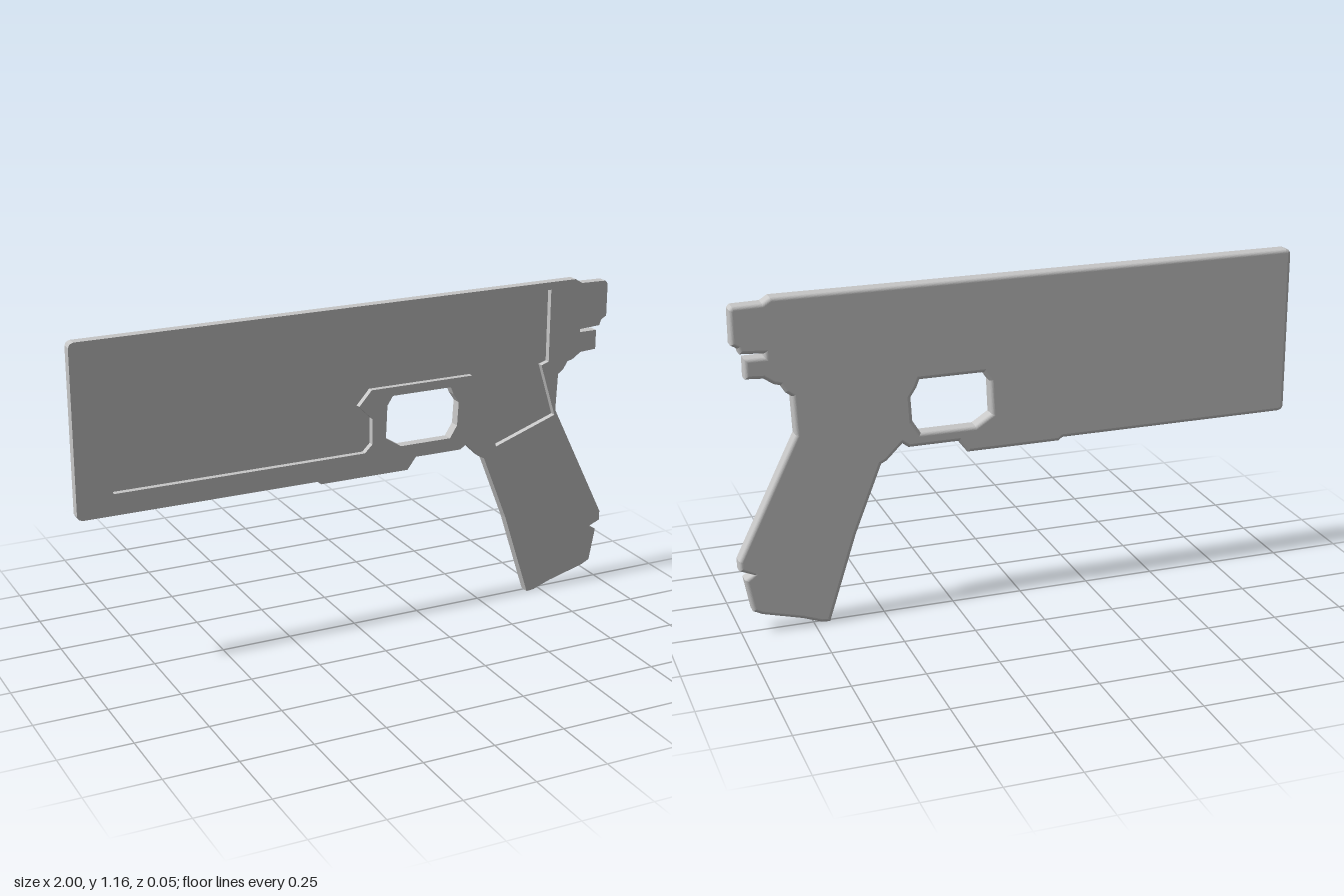
import * as THREE from 'three';

const grey = new THREE.MeshStandardMaterial({ color: 0xc7c7c7 });
grey.name = 'grey';

const points = (list) => list.map(([x, y]) => new THREE.Vector2(x, y));

// Outer silhouette, clockwise
const outline = points([
  [-1, 1.148], [-0.994, 1.159], [-0.982, 1.164], [0.853, 1.164], [0.88, 1.147], [0.977, 1.145],
  [0.987, 1.134], [0.987, 1.016], [0.966, 1.004], [0.96, 0.984], [0.88, 0.979], [0.88, 0.968],
  [0.947, 0.968], [0.947, 0.898], [0.885, 0.894], [0.853, 0.872], [0.832, 0.866], [0.816, 0.84],
  [0.795, 0.824], [0.789, 0.69], [0.998, 0.267], [0.998, 0.232], [0.955, 0.214], [0.982, 0.198],
  [0.96, 0.08], [0.928, 0.064], [0.79, 0.027], [0.725, 0.003], [0.695, 0], [0.595, 0.31],
  [0.5, 0.551], [0.48, 0.561], [0.425, 0.615], [0.404, 0.599], [0.227, 0.599], [0.195, 0.556],
  [-0.136, 0.556], [-0.15, 0.567], [-0.982, 0.567], [-0.994, 0.572], [-1, 0.583],
]);

// Opening for the finger, counter-clockwise
const guardHole = points([
  [0.115, 0.802], [0.11, 0.684], [0.168, 0.647], [0.361, 0.647], [0.388, 0.69], [0.393, 0.775],
  [0.372, 0.807], [0.361, 0.834], [0.136, 0.834],
]);

// Hollow in the flat front side, counter-clockwise
const pocket = points([
  [-0.875, 1.121], [-0.875, 0.642], [0.03, 0.642], [0.058, 0.67], [0.058, 0.762], [0.008, 0.812],
  [0.055, 0.865], [0.445, 0.865], [0.548, 0.588], [0.786, 0.672], [0.725, 0.865], [0.754, 0.875],
  [0.754, 1.137], [-0.155, 1.137], [-0.155, 1.121],
]);

function plate(name, holes, options, z) {
  const shape = new THREE.Shape(outline);
  shape.holes = holes.map((h) => new THREE.Path(h));
  const geometry = new THREE.ExtrudeGeometry(shape, options);
  geometry.translate(0, 0, z);
  const mesh = new THREE.Mesh(geometry, grey);
  mesh.name = name;
  return mesh;
}

export function createModel() {
  const group = new THREE.Group();
  group.name = 'shellHalf';

  // Back plate with rounded rear edges; its front face is the pocket floor
  group.add(plate('backPlate', [guardHole], {
    depth: 0.001, bevelEnabled: true, bevelThickness: 0.012,
    bevelSize: 0.013, bevelOffset: -0.013, bevelSegments: 8,
  }, -0.011));

  // Square-edged front frame around the pocket
  group.add(plate('frontFrame', [guardHole, pocket], { depth: 0.034, bevelEnabled: false }, -0.011));

  return group;
}
